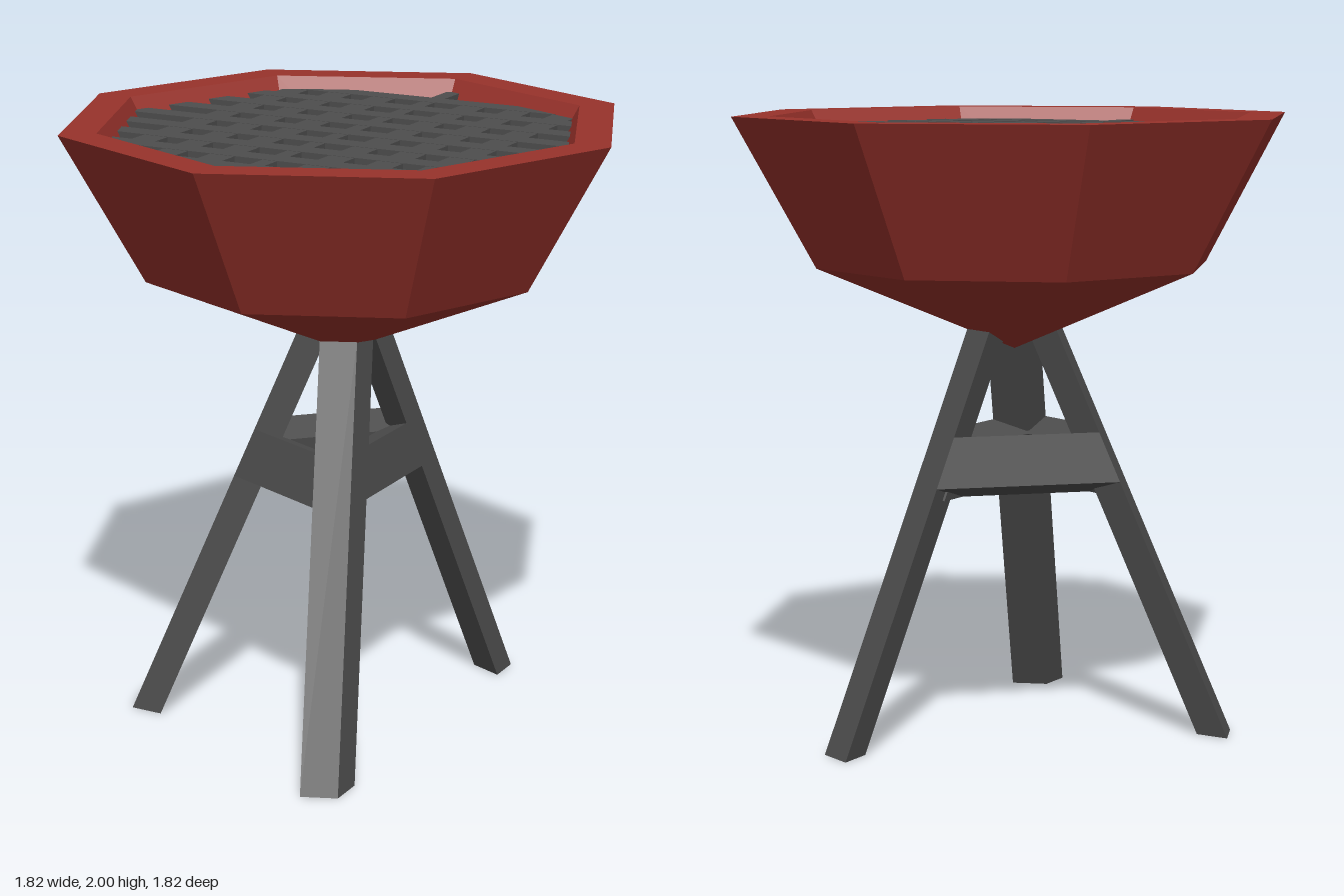
import * as THREE from 'three';
import { ConvexGeometry } from 'three/addons/geometries/ConvexGeometry.js';

const red = new THREE.MeshStandardMaterial({ color: 0x98322b, flatShading: true });
const dark = new THREE.MeshStandardMaterial({ color: 0x4d4d4d, flatShading: true });

const V = (x, y, z) => new THREE.Vector3(x, y, z);

function add(parent, name, geometry, material) {
  const mesh = new THREE.Mesh(geometry, material);
  mesh.name = name;
  parent.add(mesh);
  return mesh;
}

// Point on the sloping edge of a front leg: foot position (x, z), taken at height y
const LEG_TOP = 1.32;
const onLeg = (x, z, y) => V(x - 0.21 * y / 1.31, y, z - 0.515 * y / 1.31);

// The three leg placements, each mapping the front leg into position
const placements = {
  front: p => p.clone(),
  side: p => V(-p.z, p.y, p.x),
  back: p => V(p.x, p.y, -p.z),
};

// Foot corners: two outer ones, then the two inner ones
const outerA = [0.21, 0.675], outerB = [0.32, 0.63];
const footCorners = [outerA, outerB, [0.32, 0.52], [0.21, 0.565]];

function makeBrace(place1, corner1, place2, corner2) {
  const at = (place, c, y) => place(onLeg(c[0], c[1], y));
  const top = [at(place1, corner1, 0.99), at(place2, corner2, 0.99)];
  const bottom = [at(place1, corner1, 0.83), at(place2, corner2, 0.83)];
  // inward direction, square to the brace
  const along = bottom[1].clone().sub(bottom[0]);
  const inward = V(along.z, 0, -along.x).normalize();
  if (inward.dot(bottom[0]) > 0) inward.negate();
  const shift = inward.multiplyScalar(0.11).add(V(0, -0.045, 0));
  const outer = [...top, ...bottom];
  return new ConvexGeometry([...outer, ...outer.map(p => p.clone().add(shift))]);
}

// Half length of a grate bar at offset d, reaching into the octagonal wall
function reach(d, r = 0.8) {
  const a = Math.abs(d);
  return Math.min(r - a * 0.414, (r - a) * 2.414);
}

export function createModel() {
  const group = new THREE.Group();

  // Eight-sided bowl with a thick wall and pointed base
  const profile = [
    [0, 1.25], [0.645, 1.52], [0.91, 2], [0.79, 2], [0.53, 1.55], [0, 1.36],
  ].map(([r, y]) => new THREE.Vector2(r, y));
  add(group, 'bowl', new THREE.LatheGeometry(profile, 8), red);

  // Grate of crossing bars
  const grate = new THREE.Group();
  grate.name = 'grate';
  group.add(grate);
  for (let i = -4; i <= 4; i++) {
    const z = i * 0.15 - 0.005;
    const bar = add(grate, 'crossBar', new THREE.BoxGeometry(2 * reach(z), 0.06, 0.073), dark);
    bar.position.set(0, 1.93, z);
  }
  for (let i = -3; i <= 3; i++) {
    const x = i * 0.165 + 0.008;
    const half = i === 0 ? 0.77 : Math.min(0.635, reach(x));
    const bar = add(grate, 'longBar', new THREE.BoxGeometry(i === 0 ? 0.05 : 0.086, 0.058, 2 * half), dark);
    bar.position.set(x, 1.93, 0);
  }

  // Splayed legs
  const stand = new THREE.Group();
  stand.name = 'stand';
  group.add(stand);
  for (const [name, place] of Object.entries(placements)) {
    const points = [0, LEG_TOP].flatMap(y => footCorners.map(([x, z]) => place(onLeg(x, z, y))));
    add(stand, name + 'Leg', new ConvexGeometry(points), dark);
  }

  // Braces tying each pair of legs
  const { front, side, back } = placements;
  add(stand, 'frontBrace', makeBrace(front, outerA, side, outerB), dark);
  add(stand, 'sideBrace', makeBrace(front, outerB, back, outerB), dark);
  add(stand, 'backBrace', makeBrace(side, outerA, back, outerA), dark);

  return group;
}
